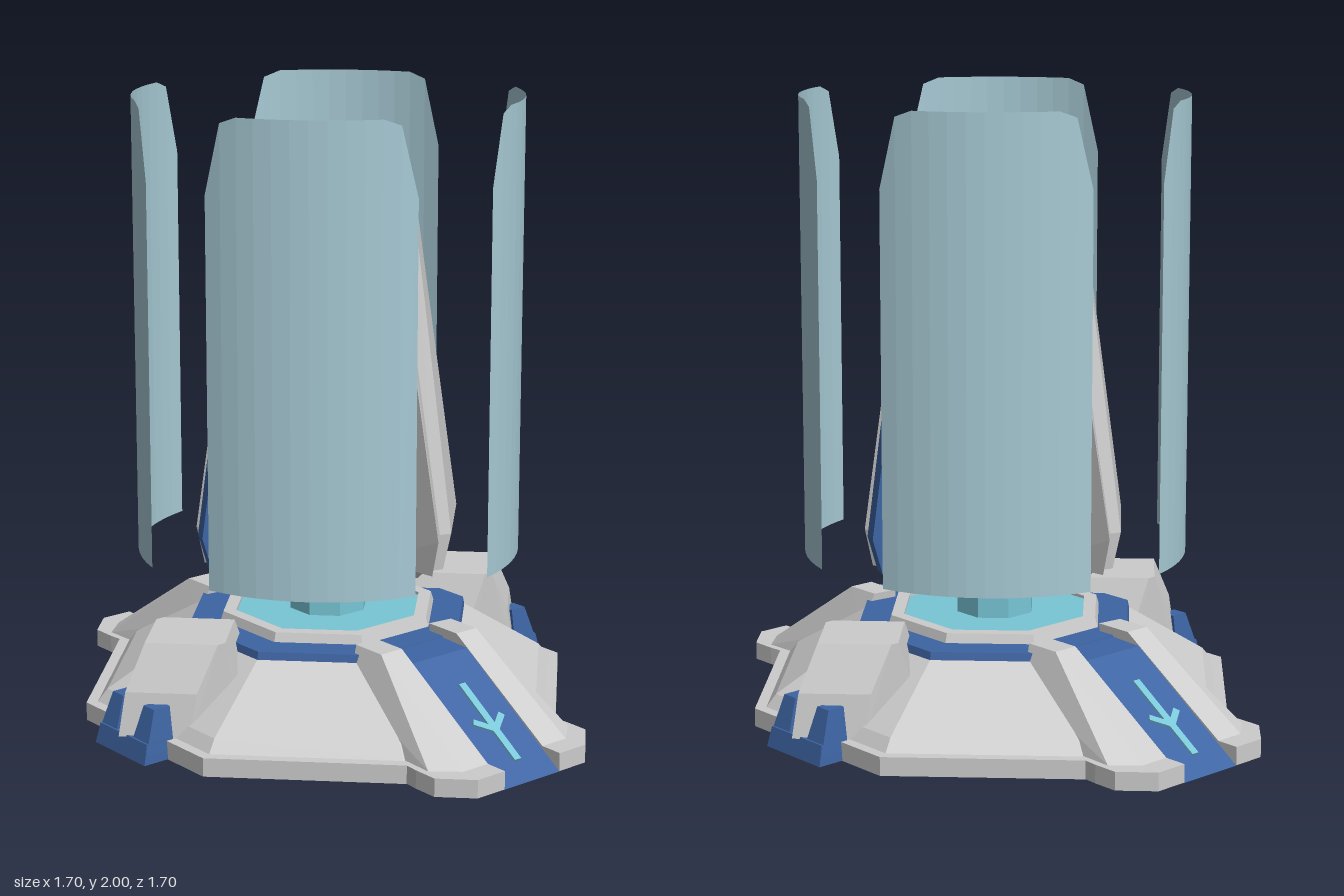
import * as THREE from 'three';
import { ConvexGeometry } from 'three/addons/geometries/ConvexGeometry.js';

const mat = (name, color, side = THREE.FrontSide) => {
  const m = new THREE.MeshStandardMaterial({ color, side });
  m.name = name;
  return m;
};

export function createModel() {
  const grey = mat('light grey armour', 0xcccccc);
  const blue = mat('deep blue', 0x3d64a3);
  const cyan = mat('glowing cyan', 0x78c6d6);
  const glass = mat('pale shield', 0xa8cbd6, THREE.DoubleSide);
  const model = new THREE.Group();

  const add = (parent, name, geo, material) => {
    const mesh = new THREE.Mesh(geo, material);
    mesh.name = name;
    parent.add(mesh);
    return mesh;
  };
  const turned = (name, angle) => {
    const g = new THREE.Group();
    g.name = name;
    g.rotation.y = angle;
    model.add(g);
    return g;
  };
  // Convex block from points [outward, up, sideways]
  const hull = (pts) => new ConvexGeometry(pts.map((p) => new THREE.Vector3(...p)));
  const both = (pts) => hull(pts.flatMap(([u, y, v]) => [[u, y, v], [u, y, -v]]));
  const flip = (pts, s) => hull(pts.map(([u, y, v]) => [u, y, v * s]));
  // Octagonal lathe with its flats on the axes; radii are measured to the flats
  const octagon = (profile) => {
    const pts = profile.map(([r, y]) => new THREE.Vector2(r / Math.cos(Math.PI / 8), y));
    const g = new THREE.LatheGeometry(pts, 8, Math.PI / 8).toNonIndexed();
    g.computeVertexNormals();
    return g;
  };

  // Base
  add(model, 'base', octagon([[0, 0], [0.755, 0], [0.755, 0.06], [0.72, 0.06], [0.69, 0.1], [0.44, 0.27], [0, 0.27]]), grey);
  add(model, 'baseCollar', octagon([[0.44, 0.27], [0.435, 0.295], [0, 0.295]]), blue);
  add(model, 'baseRing', octagon([[0.34, 0.29], [0.33, 0.325], [0.29, 0.325], [0.29, 0.29]]), grey);
  add(model, 'baseLight', octagon([[0.29, 0.315], [0, 0.315]]), cyan);

  // Central column
  add(model, 'stem', octagon([[0.12, 0.3], [0.12, 0.56]]), cyan);
  add(model, 'core', octagon([[0, 0.53], [0.15, 0.53], [0.15, 1.79], [0.135, 1.81], [0, 1.81]]), blue);
  add(model, 'coreLight', octagon([[0.085, 1.81], [0.085, 1.816], [0, 1.816]]), cyan);

  // Four upright fins and four curved shields
  for (let k = 0; k < 4; k++) {
    const fin = turned('fin', k * Math.PI / 2);
    const rows = [[0.5, 0.355, 0.25], [0.62, 0.375, 0.275], [1.66, 0.215, 0.15], [1.73, 0.205, 0.135],
      [1.79, 0.2, 0.108], [1.84, 0.195, 0.068], [1.86, 0.19, 0.025]];
    add(fin, 'finSlab', both(rows.flatMap(([y, r, h]) =>
      [[r, y, h], [0.14, y, Math.min(h, Math.max(0.08, h - (r - 0.14) * 0.9))]])), grey);
    add(fin, 'finPlate', both([[0.385, 0.5, 0.17], [0.41, 0.62, 0.17], [0.33, 0.5, 0.2], [0.36, 0.62, 0.2],
      [0.28, 1.62, 0.06], [0.21, 1.66, 0.08]]), grey);
    add(fin, 'finFoot', both([[0.2, 0.45, 0.1], [0.3, 0.45, 0.115], [0.2, 0.53, 0.13], [0.34, 0.5, 0.16], [0.34, 0.53, 0.16]]), grey);

    // Shield: a flat grid bent round the axis, with its upper corners cut
    let g = new THREE.PlaneGeometry(1, 1, 12, 1);
    const p = g.attributes.position;
    for (let i = 0; i < p.count; i++) {
      const a = p.getX(i) * 1.083;
      const edge = Math.round(Math.abs(p.getX(i)) * 12);
      const top = edge === 6 ? 1.76 : edge === 5 ? 1.98 : 2;
      p.setXYZ(i, 0.62 * Math.sin(a), p.getY(i) > 0 ? top : 0.525, 0.62 * Math.cos(a));
    }
    g = g.toNonIndexed();
    g.computeVertexNormals();
    add(turned('shield', k * Math.PI / 2), 'shieldPanel', g, glass);

    // Blades filling the gaps between fins
    const blade = turned('coreBlade', Math.PI / 4 + k * Math.PI / 2);
    add(blade, 'bladeBody', both([[0.1, 0.53, 0.035], [0.36, 0.53, 0.035], [0.37, 0.6, 0.035],
      [0.175, 1.79, 0.035], [0.1, 1.79, 0.035]]), blue);
  }

  for (const half of [0, Math.PI]) {
    // Ramp legs
    const ramp = turned('rampLeg', half - Math.PI / 4);
    add(ramp, 'rampSurface', both([[0.35, 0.1, 0.116], [0.35, 0.293, 0.116], [0.55, 0.285, 0.116],
      [0.976, 0, 0.116], [0.83, 0, 0.116]]), blue);
    add(ramp, 'lightStrip', both([[0.15, 0.55, 0.018], [0.4, 0.55, 0.018], [0.4, 0.6, 0.018],
      [0.185, 1.77, 0.018], [0.15, 1.77, 0.018]]), cyan);
    for (const s of [-1, 1]) {
      add(ramp, 'rampShoulder', flip([[0.37, 0.32, 0.115], [0.5, 0.32, 0.115], [0.38, 0.32, 0.2], [0.5, 0.32, 0.2],
        [0.9, 0.06, 0.115], [0.9, 0.06, 0.215], [0.83, 0.06, 0.295], [0.4, 0.2, 0.245], [0.42, 0.06, 0.28], [0.4, 0.06, 0.115]], s), grey);
      const outline = [[0.6, 0.115], [0.976, 0.115], [0.976, 0.226], [0.884, 0.318], [0.8, 0.318], [0.6, 0.3]];
      add(ramp, 'rampFoot', flip(outline.flatMap(([u, v]) => [[u, 0.001, v], [u, 0.06, v]]), s), grey);
    }
    // Painted arrow stripe lying on the slope
    const arrow = new THREE.Group();
    arrow.name = 'arrowStripe';
    arrow.position.set(0.78, 0.131, 0);
    arrow.rotation.z = -Math.atan2(0.285, 0.426);
    ramp.add(arrow);
    add(arrow, 'arrowShaft', new THREE.BoxGeometry(0.31, 0.008, 0.026), cyan).position.y = 0.003;
    for (const s of [-1, 1]) {
      const wing = add(arrow, 'arrowWing', new THREE.BoxGeometry(0.075, 0.008, 0.022), cyan);
      wing.position.set(0.01, 0.003, s * 0.03);
      wing.rotation.y = s * 0.9;
    }

    // Clamp legs
    const clamp = turned('clampLeg', half + Math.PI / 4);
    const d = Math.SQRT1_2;
    const square = (a, b, y, cut) => [[a, a], [b, b], [a, b - cut], [a + cut, b], [b - cut, a], [b, a + cut]]
      .map(([x, z]) => [(x + z) * d, y, (x - z) * d]);
    add(clamp, 'clampBlock', hull([...square(0.275, 0.525, 0.345, 0.02), ...square(0.235, 0.58, 0.2, 0.12),
      ...square(0.235, 0.6, 0.06, 0.14)]), grey);
    add(clamp, 'clampBar', both([[0.73, 0.001, 0.132], [0.845, 0.001, 0.132], [0.73, 0.065, 0.125], [0.83, 0.065, 0.125]]), blue);
    for (const s of [-1, 1]) {
      add(clamp, 'clampProng', flip([[0.73, 0.03, 0.13], [0.835, 0.03, 0.13], [0.73, 0.03, 0.04], [0.835, 0.03, 0.04],
        [0.73, 0.165, 0.11], [0.79, 0.165, 0.11], [0.73, 0.165, 0.055], [0.79, 0.165, 0.055]], s), blue);
      // Brackets gripping the lower fin edges
      const rows = [[0.5, 0.38, 0.44], [0.62, 0.38, 0.48], [1.1, 0.28, 0.4], [1.16, 0.28, 0.37]];
      add(clamp, 'finBracket', flip(rows.flatMap(([y, a, b]) =>
        [[a, y, 0.04], [b, y, 0.045], [b - 0.02, y, 0.095], [a, y, 0.095]]), s), blue);
    }
  }
  return model;
}
